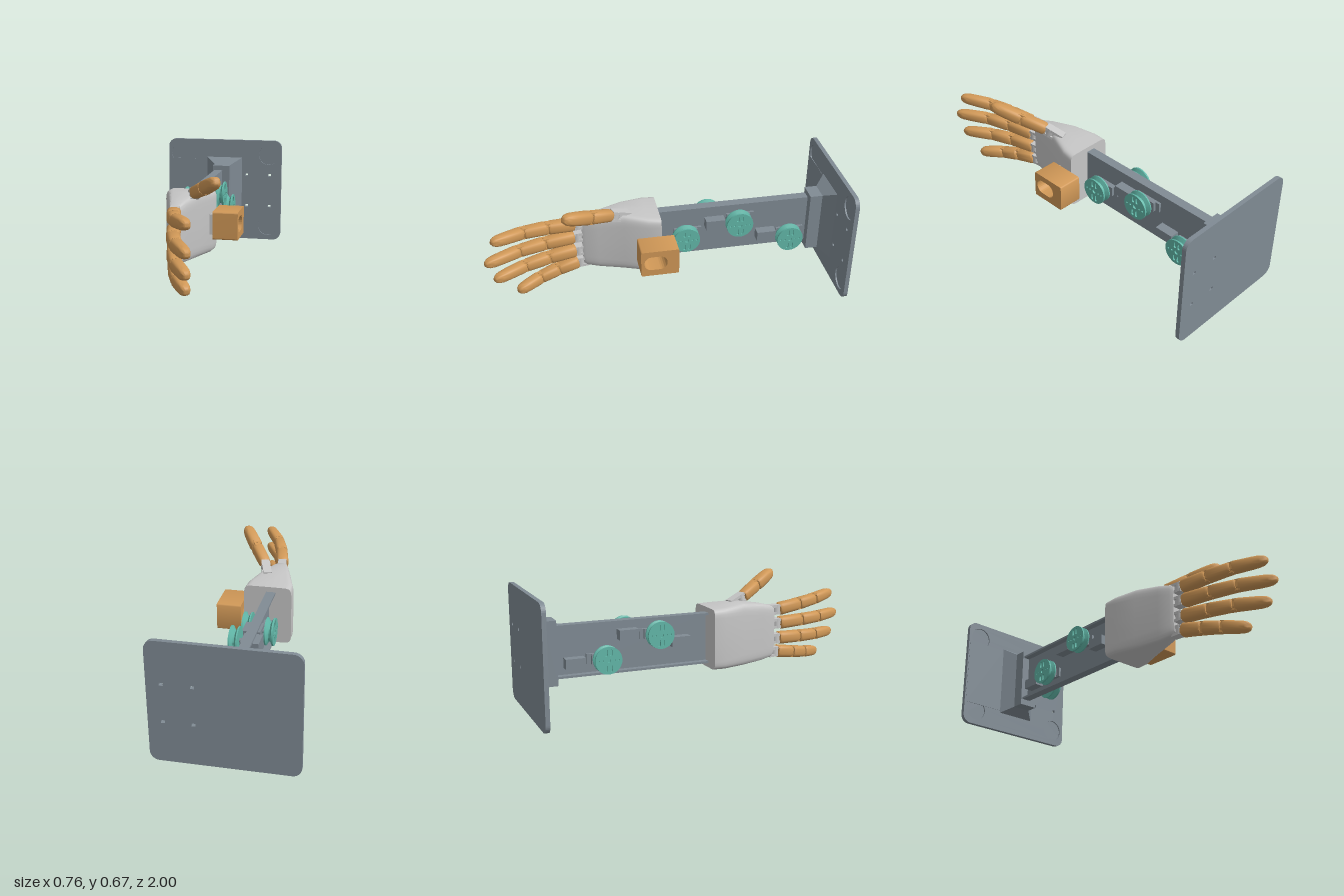
import * as THREE from 'three';
import { toCreasedNormals } from 'three/addons/utils/BufferGeometryUtils.js';

const mat = (name, color) => {
  const m = new THREE.MeshStandardMaterial({ color });
  m.name = name;
  return m;
};
const V = (x, y, z) => new THREE.Vector3(x, y, z);

// Closed skin over rings that run along +z, each counter-clockwise seen from +z
function loft(rings, crease = 0.6) {
  const n = rings[0].length, pos = [], idx = [];
  rings.forEach(r => r.forEach(p => pos.push(p.x, p.y, p.z)));
  for (let i = 0; i < rings.length - 1; i++) for (let j = 0; j < n; j++) {
    const a = i * n + j, b = i * n + (j + 1) % n;
    idx.push(a, b, b + n, a, b + n, a + n);
  }
  [rings[0], rings[rings.length - 1]].forEach((r, end) => {
    const c = r.reduce((s, p) => s.add(p), V(0, 0, 0)).divideScalar(n);
    const k = pos.length / 3, o = end ? (rings.length - 1) * n : 0;
    pos.push(c.x, c.y, c.z);
    for (let j = 0; j < n; j++) {
      const a = o + j, b = o + (j + 1) % n;
      end ? idx.push(k, a, b) : idx.push(k, b, a);
    }
  });
  const g = new THREE.BufferGeometry();
  g.setAttribute('position', new THREE.Float32BufferAttribute(pos, 3));
  g.setIndex(idx);
  return toCreasedNormals(g, crease);
}

// Rounded rectangle ring; a small e gives squarer corners
function ring(x0, x1, y0, y1, z, e, n = 32) {
  const f = v => Math.sign(v) * Math.pow(Math.abs(v) < 1e-9 ? 0 : Math.abs(v), e);
  return Array.from({ length: n }, (_, i) => {
    const a = i / n * Math.PI * 2;
    return V((x0 + x1) / 2 + f(Math.cos(a)) * (x1 - x0) / 2, (y0 + y1) / 2 + f(Math.sin(a)) * (y1 - y0) / 2, z);
  });
}
const rect = (x, y0, y1, z) => [V(-x, y0, z), V(x, y0, z), V(x, y1, z), V(-x, y1, z)];

function roundRect(T, x0, y0, x1, y1, r) {
  const s = new T();
  s.absarc(x1 - r, y0 + r, r, -Math.PI / 2, 0);
  s.absarc(x1 - r, y1 - r, r, 0, Math.PI / 2);
  s.absarc(x0 + r, y1 - r, r, Math.PI / 2, Math.PI);
  s.absarc(x0 + r, y0 + r, r, Math.PI, Math.PI * 1.5);
  s.closePath();
  return s;
}
const circle = (x, y, r) => new THREE.Path().absarc(x, y, r, 0, Math.PI * 2);
const extrude = (s, depth) => toCreasedNormals(
  new THREE.ExtrudeGeometry(s, { depth, bevelEnabled: false, curveSegments: 16 }), 0.6);

export function createModel() {
  const model = new THREE.Group();
  const steel = mat('steel grey', 0x808b94), shell = mat('light grey', 0xc6c6c6);
  const amber = mat('amber', 0xd09857), teal = mat('teal', 0x62b8a9);

  const add = (name, geo, m, parent = model) => {
    const mesh = new THREE.Mesh(geo, m);
    mesh.name = name;
    parent.add(mesh);
    return mesh;
  };
  const box = (name, x0, x1, y0, y1, z0, z1, m, parent) => {
    const b = add(name, new THREE.BoxGeometry(x1 - x0, y1 - y0, z1 - z0), m, parent);
    b.position.set((x0 + x1) / 2, (y0 + y1) / 2, (z0 + z1) / 2);
    return b;
  };

  // Base plate: a back layer with bolt holes, a front layer that also has shallow recesses
  const plateLayer = (name, recessed, z, depth) => {
    const s = roundRect(THREE.Shape, -0.38, 0, 0.38, 0.665, 0.05);
    for (const x of [0.15, 0.303]) for (const y of [0.228, 0.436])
      s.holes.push(roundRect(THREE.Path, x - 0.01, y - 0.008, x + 0.01, y + 0.008, 0.001));
    if (recessed) {
      for (const x of [-0.295, 0.295]) for (const y of [0.095, 0.57]) s.holes.push(circle(x, y, 0.065));
    }
    add(name, extrude(s, depth), steel).position.z = z;
  };
  plateLayer('basePlateBack', false, -1, 0.016);
  plateLayer('basePlateFront', true, -0.984, 0.008);
  box('platePad', -0.372, -0.12, 0.13, 0.535, -0.978, -0.9745, steel);

  // Flared socket holding the beam
  add('socketFlare', loft([rect(0.12, 0.115, 0.55, -0.978), rect(0.055, 0.155, 0.51, -0.915),
    rect(0.055, 0.155, 0.51, -0.845)], 0.1), steel);

  // Forearm channel, open towards -x
  box('beamWeb', -0.008, 0.008, 0.19, 0.48, -0.85, 0.05, steel);
  box('beamTopFlange', -0.045, 0.008, 0.468, 0.48, -0.85, 0.05, steel);
  box('beamBottomFlange', -0.045, 0.008, 0.19, 0.202, -0.85, 0.05, steel);

  // Cable wheel: grooved hub with a slotted outer disc, axis along +y
  const hub = toCreasedNormals(new THREE.LatheGeometry([[0, 0], [0.076, 0], [0.076, 0.007], [0.054, 0.019],
    [0.054, 0.027], [0.076, 0.039], [0, 0.039]].map(p => new THREE.Vector2(...p)), 40), 0.5);
  const discShape = new THREE.Shape().absarc(0, 0, 0.076, 0, Math.PI * 2);
  discShape.holes.push(circle(0, 0, 0.012));
  for (const s of [-1, 1]) {
    discShape.holes.push(circle(0, s * 0.032, 0.005), circle(0, s * 0.055, 0.005));
    for (const t of [-1, 1]) {
      const x = s * 0.043, y = t * 0.013;
      discShape.holes.push(roundRect(THREE.Path, x - 0.018, y - 0.007, x + 0.018, y + 0.007, 0.006));
    }
  }
  const disc = extrude(discShape, 0.009).rotateX(-Math.PI / 2).translate(0, 0.039, 0);

  // Motors set through the web, their wheels on alternating sides
  const drives = [[1, 0.335, -0.12], [-1, 0.39, -0.275], [1, 0.4, -0.425], [-1, 0.278, -0.578], [1, 0.268, -0.727]];
  for (const [side, y, z] of drives) {
    const unit = new THREE.Group();
    unit.name = side > 0 ? 'driveLeft' : 'driveRight';
    unit.position.set(0, y, z);
    model.add(unit);
    const span = (name, a, b, h, z0, z1) =>
      box(name, Math.min(a * side, b * side), Math.max(a * side, b * side), -h, h, z0, z1, steel, unit);
    span('motorBody', -0.062, 0.038, 0.028, -0.075, 0.035);
    span('motorEars', 0.008, 0.022, 0.028, -0.1, 0.06);
    const shaft = add('motorShaft', new THREE.CylinderGeometry(0.012, 0.012, 0.03, 16), steel, unit);
    shaft.rotation.z = Math.PI / 2;
    shaft.position.x = side * 0.045;
    const wheel = new THREE.Group();
    wheel.name = 'cableWheel';
    wheel.position.x = side * 0.056;
    wheel.rotation.z = -side * Math.PI / 2;
    unit.add(wheel);
    add('wheelHub', hub, teal, wheel);
    add('wheelDisc', disc, teal, wheel);
  }

  // Palm shell
  add('palm', loft([
    ring(-0.137, 0.137, 0.165, 0.51, 0.03, 0.2),
    ring(-0.137, 0.132, 0.163, 0.515, 0.1, 0.22),
    ring(-0.1, 0.085, 0.163, 0.525, 0.23, 0.28),
    ring(-0.062, 0.047, 0.172, 0.505, 0.37, 0.32),
    ring(-0.042, 0.03, 0.185, 0.488, 0.44, 0.35),
    ring(-0.03, 0.02, 0.2, 0.475, 0.458, 0.4)], 0.5), shell);

  // Sensor housing beside the wrist, with an oblong opening
  const housing = roundRect(THREE.Shape, -0.17, 0.255, 0.04, 0.41, 0.008);
  housing.holes.push(roundRect(THREE.Path, -0.152, 0.292, -0.025, 0.376, 0.04));
  add('sensorHousing', extrude(housing, 0.14).rotateY(Math.PI / 2).translate(0.14, 0, 0), amber);
  box('housingMount', 0.11, 0.142, 0.275, 0.39, 0.05, 0.14, shell);

  // One finger bone from a to b; the last bone has a rounded end
  function bone(name, a, b, r0, r1, tip) {
    const L = a.distanceTo(b), g = new THREE.Group();
    g.name = name;
    g.position.copy(a);
    g.lookAt(b);
    model.add(g);
    const stops = tip
      ? [[0, 0.82], [0.07, 1], [0.55, 1], [0.75, 0.96], [0.87, 0.83], [0.95, 0.58], [0.99, 0.28], [1, 0.05]]
      : [[0, 0.82], [0.08, 1], [0.86, 1], [0.93, 0.85]];
    add('boneShell', loft(stops.map(([t, k]) => {
      const r = (r0 + (r1 - r0) * t) * k;
      return ring(-r, r, -r, r, t * L, 0.7, 24);
    }), 0.65), amber, g);
    if (!tip) {
      // Hinge tongue and pin leading into the next bone
      box('hingeTongue', -r1 * 0.6, r1 * 0.6, -r1 * 0.5, r1 * 0.5, L * 0.85, L + 0.025, amber, g);
      for (const s of [-1, 1])
        box('hingeLug', -r1 * 0.45, r1 * 0.55, s * r1 * 0.8 - 0.006, s * r1 * 0.8 + 0.006, L * 0.8, L + 0.018, amber, g);
      add('hingePin', new THREE.CylinderGeometry(0.007, 0.007, r1 * 2.06, 12), amber, g).position.z = L;
    }
    return g;
  }

  // Grey knuckle: a stem and a barrel across its end
  function knuckle(a, b, r) {
    const L = a.distanceTo(b), g = new THREE.Group();
    g.name = 'knuckle';
    g.position.copy(a);
    g.lookAt(b);
    model.add(g);
    for (const s of [-1, 1])
      box('knuckleFork', -r * 0.8, r * 0.8, s * r * 0.7 - 0.008, s * r * 0.7 + 0.008, 0, L, shell, g);
    box('knuckleStem', -r * 0.5, r * 0.5, -r * 0.5, r * 0.5, 0, L + 0.015, shell, g);
    add('knuckleBarrel', new THREE.CylinderGeometry(r * 0.85, r * 0.85, r * 1.9, 20), shell, g).position.z = L * 0.75;
  }

  // Four fingers curling towards +x: base y, tip y, tip x, tip z, base z
  const fingers = [
    ['indexFinger', 0.46, 0.505, 0.172, 0.955, 0.5],
    ['middleFinger', 0.377, 0.375, 0.182, 1.0, 0.505],
    ['ringFinger', 0.287, 0.26, 0.172, 0.96, 0.5],
    ['littleFinger', 0.208, 0.148, 0.145, 0.84, 0.49]];
  for (const [name, y0, y1, x1, z1, z0] of fingers) {
    const p = [[0, 0, 0], [0.2, 0.34, 0.34], [0.46, 0.64, 0.63], [1, 1, 1]].map(([x, y, z]) =>
      V(0.003 + (x1 - 0.003) * x, y0 + (y1 - y0) * y, z0 + (z1 - z0) * z));
    knuckle(V(-0.005, y0, 0.43), p[0], 0.03);
    bone(name + 'Base', p[0], p[1], 0.037, 0.035, false);
    bone(name + 'Middle', p[1], p[2], 0.036, 0.033, false);
    bone(name + 'Tip', p[2], p[3], 0.034, 0.03, true);
  }

  // Thumb
  const t = [V(0.035, 0.5, 0.2), V(0.07, 0.537, 0.3), V(0.148, 0.587, 0.425), V(0.24, 0.648, 0.575)];
  knuckle(t[0], t[1], 0.03);
  bone('thumbBase', t[1], t[2], 0.033, 0.036, false);
  bone('thumbTip', t[2], t[3], 0.037, 0.033, true);

  return model;
}
